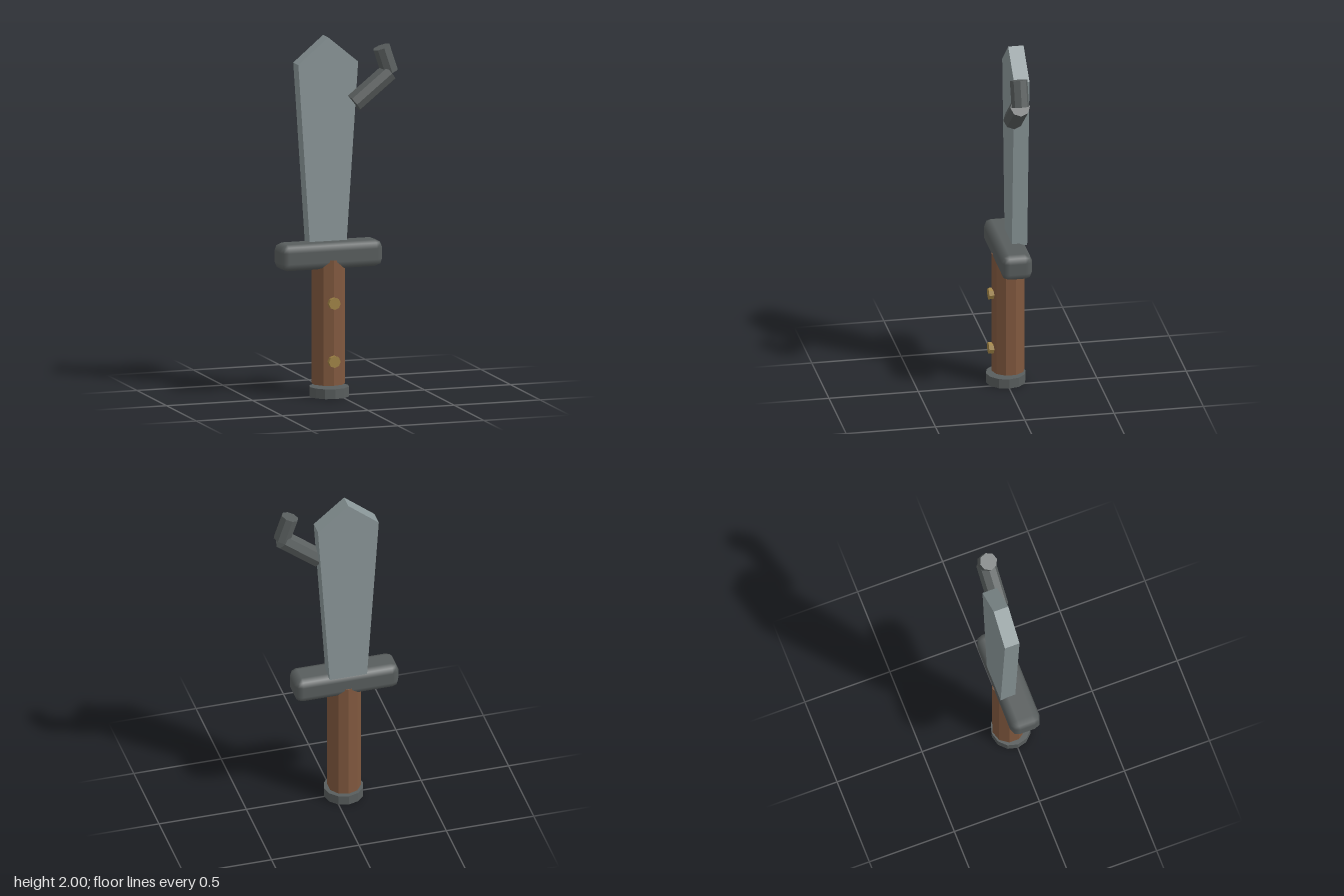
import * as THREE from 'three';
import { RoundedBoxGeometry } from 'three/addons/geometries/RoundedBoxGeometry.js';

const CX = -0.055; // centre line of the sword
const CZ = -0.013; // middle of the guard, handle and hook

const material = (name, color) => {
  const m = new THREE.MeshStandardMaterial({ color });
  m.name = name;
  return m;
};

// Cylinder with hard facets, running between two points
function facetedRod(from, to, radius, sides) {
  const a = new THREE.Vector3(...from);
  const axis = new THREE.Vector3(...to).sub(a);
  const g = new THREE.CylinderGeometry(radius, radius, axis.length(), sides).toNonIndexed();
  g.computeVertexNormals();
  const turn = new THREE.Quaternion().setFromUnitVectors(
    new THREE.Vector3(0, 1, 0), axis.clone().normalize());
  g.applyQuaternion(turn);
  const mid = a.addScaledVector(axis, 0.5);
  return g.translate(mid.x, mid.y, mid.z);
}

export function createModel() {
  const sword = new THREE.Group();
  sword.name = 'sword';
  const steel = material('bladeSteel', 0x8a9698);
  const iron = material('darkIron', 0x585d5d);
  const wood = material('wood', 0x80583e);
  const brass = material('brass', 0xa08345);

  const add = (name, geometry, mat) => {
    const mesh = new THREE.Mesh(geometry, mat);
    mesh.name = name;
    sword.add(mesh);
  };

  // Blade: widening slab with a pointed tip, set towards the back of the guard
  const outline = new THREE.Shape([
    [-0.107, 0.85], [0.107, 0.85], [0.174, 1.855], [0, 2], [-0.174, 1.855],
  ].map(([x, y]) => new THREE.Vector2(CX + x, y)));
  const blade = new THREE.ExtrudeGeometry(outline, { depth: 0.086, bevelEnabled: false });
  add('blade', blade.translate(0, 0, -0.1), steel);

  // Cross guard with soft corners
  const guard = new RoundedBoxGeometry(0.596, 0.147, 0.173, 1, 0.043);
  add('guard', guard.translate(CX, 0.789, CZ), iron);

  // Grip and the pommel, separated by a narrow gap
  add('handle', facetedRod([CX, 0.069, CZ], [CX, 0.768, CZ], 0.093, 10), wood);
  add('pommel', facetedRod([CX, 0, 0], [CX, 0.055, 0], 0.111, 12), iron);

  // Rivets on the front of the grip
  [0.205, 0.53].forEach((y, i) =>
    add(`rivet${i + 1}`, facetedRod([CX, y, 0.066], [CX, y, 0.098], 0.034, 8), brass));

  // Bent hook beside the blade
  add('hookArm', facetedRod([0.094, 1.625, CZ], [0.298, 1.787, CZ], 0.055, 8), iron);
  add('hookTip', facetedRod([0.301, 1.788, CZ], [0.254, 1.928, CZ], 0.049, 8), iron);

  return sword;
}
